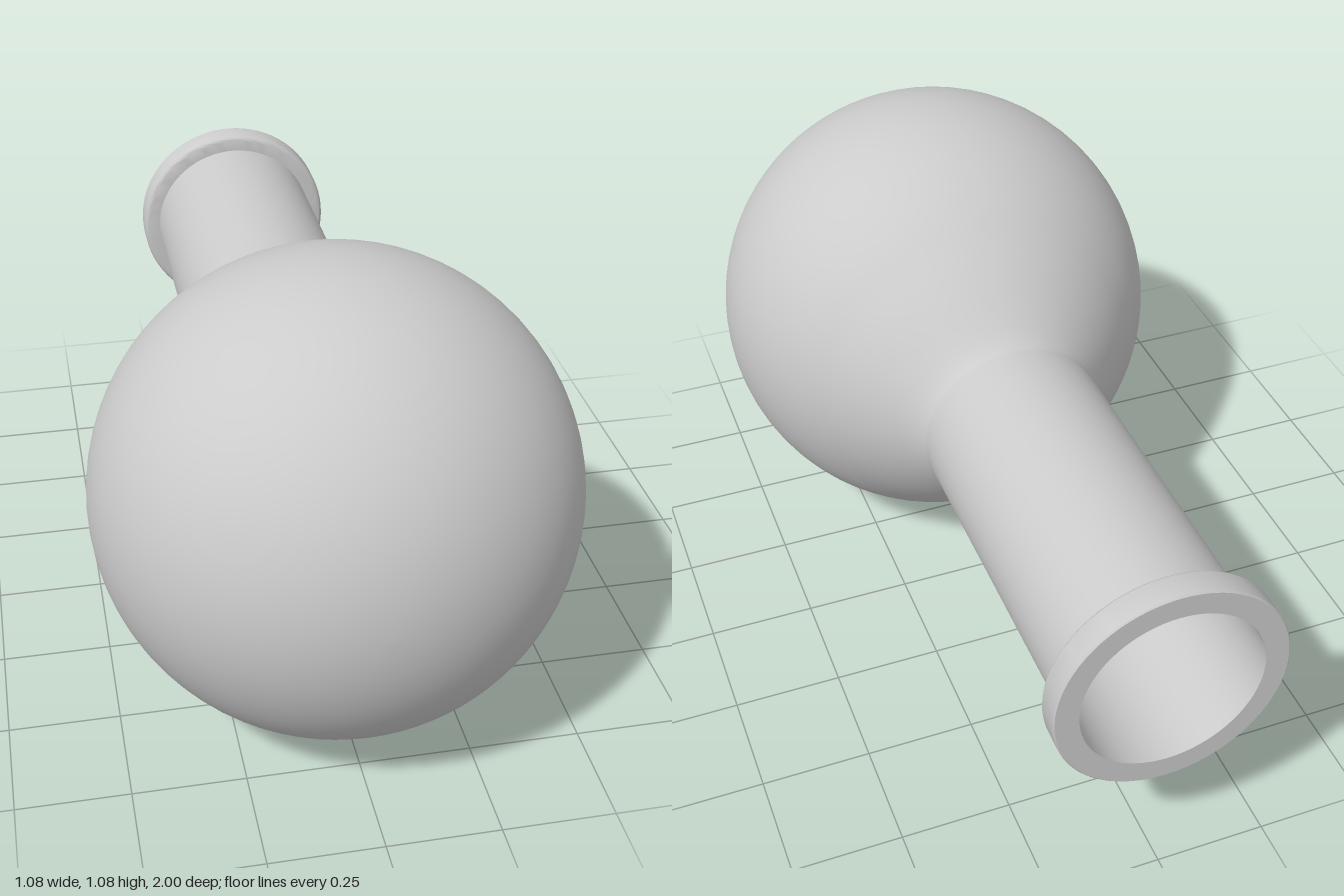
import * as THREE from 'three';
import { toCreasedNormals } from 'three/addons/utils/BufferGeometryUtils.js';

const AXIS_Y = 0.54;
const V = (r, z) => new THREE.Vector2(r, z);

// Revolve a (radius, z) profile about the horizontal axis.
function turned(name, points, crease) {
  let geometry = new THREE.LatheGeometry(points, 72);
  geometry.rotateX(Math.PI / 2);
  if (crease) geometry = toCreasedNormals(geometry, crease);
  const mesh = new THREE.Mesh(geometry, new THREE.MeshStandardMaterial({ color: 0xcccccc, side: THREE.DoubleSide }));
  mesh.name = name;
  mesh.position.y = AXIS_Y;
  return mesh;
}

// Neck, flared shoulder and round bulb as one smooth profile; inset moves it inwards.
function flaskProfile(inset) {
  const neck = 0.216 - inset;
  const radius = 0.538 - inset;
  const centre = 0.462;
  const start = Math.acos(0.669);
  const end = V(radius * Math.sin(start), centre - radius * 0.669);
  const shoulder = new THREE.CubicBezierCurve(
    V(neck, -0.12), V(neck, -0.075), V(end.x - 0.09, end.y - 0.12), end);
  const points = [V(neck, -1), V(neck, -0.5), ...shoulder.getPoints(14)];
  const steps = 40;
  for (let i = 1; i <= steps; i++) {
    const a = start + (Math.PI - start) * i / steps;
    points.push(V(Math.max(0, radius * Math.sin(a)), centre - radius * Math.cos(a)));
  }
  return points;
}

export function createModel() {
  const group = new THREE.Group();
  group.name = 'roundBottomFlask';

  group.add(turned('flaskOuterWall', flaskProfile(0)));
  // Inner wall runs the other way so that it faces the cavity
  group.add(turned('flaskInnerWall', flaskProfile(0.014).reverse()));

  // Rim ring around the mouth, with softened outer corners
  const rim = [V(0.202, -1), V(0.254, -1), V(0.257, -0.997), V(0.257, -0.945)];
  for (let i = 1; i <= 5; i++) {
    const a = (i / 5) * Math.PI / 2;
    rim.push(V(0.243 + 0.014 * Math.cos(a), -0.945 + 0.014 * Math.sin(a)));
  }
  rim.push(V(0.214, -0.931));
  group.add(turned('mouthRim', rim, 0.6));

  return group;
}
